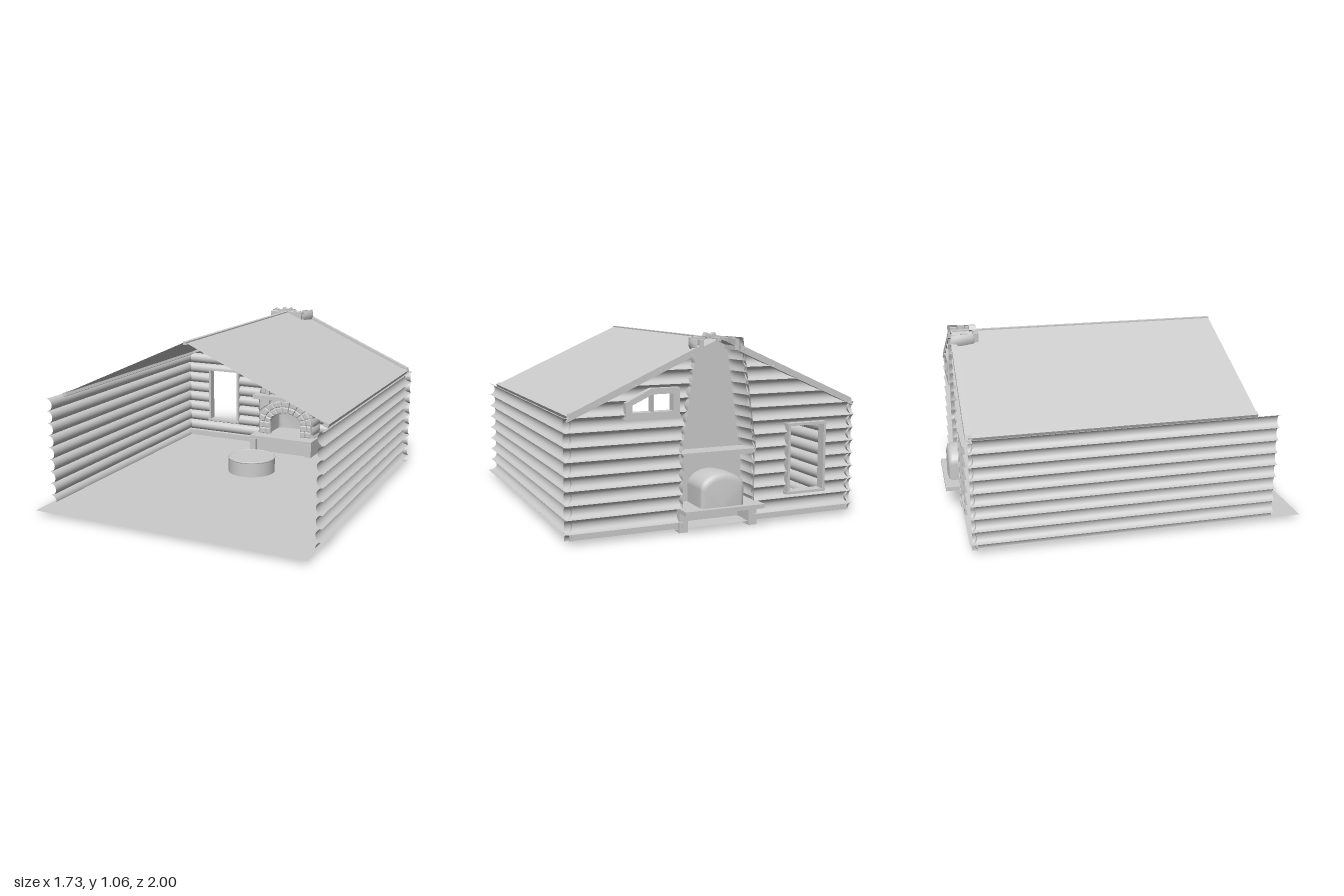
import * as THREE from 'three';

const PITCH = 0.0745, LOG_BASE = 0.06;

export function createModel() {
  const model = new THREE.Group();
  const grey = new THREE.MeshStandardMaterial({ color: 0xcccccc, side: THREE.DoubleSide });

  let seed = 7;
  const rand = () => (seed = (seed * 16807) % 2147483647) / 2147483647;

  const group = (name) => {
    const g = new THREE.Group();
    g.name = name;
    model.add(g);
    return g;
  };
  const add = (name, geo, parent = model) => {
    const m = new THREE.Mesh(geo, grey);
    m.name = name;
    parent.add(m);
    return m;
  };
  // box given by its limits
  const box = (name, x0, x1, y0, y1, z0, z1, parent) => {
    const m = add(name, new THREE.BoxGeometry(x1 - x0, y1 - y0, z1 - z0), parent);
    m.position.set((x0 + x1) / 2, (y0 + y1) / 2, (z0 + z1) / 2);
    return m;
  };
  // surface through rows of points
  const sheet = (rows) => {
    const n = rows[0].length, idx = [];
    for (let i = 0; i < rows.length - 1; i++)
      for (let j = 0; j < n - 1; j++) {
        const a = i * n + j, b = a + n;
        idx.push(a, a + 1, b, b, a + 1, b + 1);
      }
    const g = new THREE.BufferGeometry();
    g.setAttribute('position', new THREE.Float32BufferAttribute(rows.flat(2), 3));
    g.setIndex(idx);
    g.computeVertexNormals();
    return g;
  };
  const polygon = (pts) => new THREE.Shape(pts.map(([x, y]) => new THREE.Vector2(x, y)));
  const plate = (name, shape, z, depth, parent, bevel = 0) => {
    const m = add(name, new THREE.ExtrudeGeometry(shape, {
      depth, bevelEnabled: bevel > 0, bevelSize: bevel, bevelOffset: -bevel,
      bevelThickness: bevel, bevelSegments: 2, curveSegments: 16,
    }), parent);
    m.position.z = z;
    return m;
  };
  // log courses between two heights; row(y, bulge) gives the points across
  const logs = (name, y0, y1, row, parent) => {
    const first = Math.floor((y0 - LOG_BASE) / PITCH + 1e-6);
    for (let k = first; LOG_BASE + k * PITCH < y1 - 1e-6; k++) {
      const c = LOG_BASE + (k + 0.5) * PITCH, r = PITCH / 2;
      const angle = (y) => Math.acos(THREE.MathUtils.clamp((c - y) / r, -1, 1));
      const a0 = angle(y0), a1 = angle(y1), rows = [];
      for (let i = 0; i <= 12; i++) {
        const a = a0 + (a1 - a0) * i / 12;
        rows.push(row(c - r * Math.cos(a), r * Math.sin(a)));
      }
      add(name, sheet(rows), parent);
    }
  };

  // floor
  const floor = add('floor', new THREE.PlaneGeometry(1.7, 1.91));
  floor.rotation.x = -Math.PI / 2;
  floor.position.set(0, 0.022, 0.045);

  // side walls: half logs bulging into the room
  for (const s of [-1, 1]) {
    const wall = group(s > 0 ? 'leftWall' : 'rightWall');
    logs('wallLog', 0.02, 0.656, (y, b) => [[s * (0.866 - b), y, 0.83], [s * (0.866 - b), y, -0.905]], wall);
  }

  // back wall, pieced around fireplace and windows
  const RIDGE = 1.035, SLOPE = 0.445;
  const gable = (y) => (y < 0.657 ? 0.866 : (RIDGE - y) / SLOPE);
  const breast = (y) => (y < 0.42 ? 0.215 : 0.225 - (y - 0.42) * 0.147);
  const slant = (y) => 0.51 - Math.max(0, y - 0.70) * 1.8;
  const back = group('backWall');
  const wallPiece = (y0, y1, left, right) =>
    logs('wallLog', y0, y1, (y, b) => [[left(y), y, b - 0.92], [right(y), y, b - 0.92]], back);
  const at = (x) => () => x;
  const negGable = (y) => -gable(y), negBreast = (y) => -breast(y);
  wallPiece(0.02, 0.16, negGable, negBreast);
  wallPiece(0.16, 0.545, negGable, at(-0.655));
  wallPiece(0.16, 0.545, at(-0.435), negBreast);
  wallPiece(0.545, 0.965, negGable, negBreast);
  wallPiece(0.02, 0.66, breast, gable);
  wallPiece(0.66, 0.70, breast, at(0.275));
  wallPiece(0.66, 0.70, slant, gable);
  wallPiece(0.70, 0.76, breast, at(0.275));
  wallPiece(0.70, 0.76, slant, gable);
  wallPiece(0.76, 0.965, breast, gable);
  for (const s of [-1, 1])
    box('baseboard', s > 0 ? 0.215 : -0.84, s > 0 ? 0.84 : -0.215, 0.022, 0.06, -0.9, -0.875);

  // tall window frame
  const tall = group('tallWindow');
  box('windowJamb', -0.67, -0.655, 0.16, 0.545, -0.925, -0.87, tall);
  box('windowJamb', -0.44, -0.425, 0.16, 0.545, -0.925, -0.87, tall);
  box('windowLintel', -0.675, -0.42, 0.54, 0.555, -0.925, -0.868, tall);
  box('windowSill', -0.675, -0.42, 0.152, 0.167, -0.925, -0.862, tall);

  // small slanted window under the gable
  const small = group('gableWindow');
  const frame = polygon([[0.24, 0.64], [0.54, 0.64], [0.54, 0.72], [0.40, 0.788], [0.24, 0.788]]);
  frame.holes.push(
    polygon([[0.275, 0.665], [0.385, 0.665], [0.385, 0.757], [0.275, 0.757]]),
    polygon([[0.393, 0.665], [0.505, 0.665], [0.505, 0.705], [0.393, 0.757]]));
  plate('gableWindowFrame', frame, -0.925, 0.055, small);
  box('gableWindowSill', 0.232, 0.548, 0.628, 0.642, -0.925, -0.862, small);

  // roof sheets, gable trim and eave boards
  const roof = group('roof');
  const EAVE = 0.835, eaveY = RIDGE - SLOPE * EAVE;
  for (const s of [-1, 1]) {
    add('roofSlope', sheet([
      [[0, RIDGE, 0.705], [0, RIDGE, -0.905]],
      [[s * EAVE, eaveY, 0.705], [s * EAVE, eaveY, -0.905]],
    ]), roof);
    const edge = (x, d) => [s * x, RIDGE - SLOPE * x + d];
    plate('gableTrim', polygon([edge(0.12, 0.018), edge(0.838, 0.018), edge(0.852, -0.02), edge(0.12, -0.02)]),
      -0.917, 0.034, roof);
    const board = box('eaveBoard', -0.015, 0.015, -0.012, 0.012, -0.9, 0.705, roof);
    board.position.x = s * 0.828;
    board.position.y = eaveY - 0.004;
    board.rotation.z = -s * Math.atan(SLOPE);
  }
  box('ridgeBeam', -0.012, 0.012, RIDGE - 0.016, RIDGE + 0.002, -0.9, 0.705, roof);

  // fireplace: hollow stone shell, open behind
  const fire = group('fireplace');
  const FRONT = -0.77;
  const half = (y) => (y < 0.42 ? 0.2 : 0.192 - (y - 0.42) * 0.146);
  const stone = (pts) => {
    const cx = pts.reduce((t, p) => t + p[0], 0) / pts.length;
    const cy = pts.reduce((t, p) => t + p[1], 0) / pts.length;
    const inset = pts.map(([x, y]) => [cx + (x - cx) * 0.95, cy + (y - cy) * 0.94]);
    plate('stone', polygon(inset), FRONT, 0.004 + rand() * 0.006, fire, 0.007);
  };
  plate('chimneyFace', polygon([[-half(0.42), 0.42], [half(0.42), 0.42], [0.1, 1.04], [-0.1, 1.04]]), FRONT - 0.01, 0.01, fire);

  const OY = 0.225, RX = 0.115, RY = 0.075;
  const lower = polygon([[-0.2, 0.02], [0.2, 0.02], [0.2, 0.42], [-0.2, 0.42]]);
  const arch = (grow, a) => [(RX + grow) * Math.cos(a), OY + (RY + grow) * Math.sin(a)];
  const outline = [[RX, 0.13]];
  for (let i = 0; i <= 16; i++) outline.push(arch(0, Math.PI * i / 16));
  outline.push([-RX, 0.13]);
  lower.holes.push(polygon(outline));
  plate('fireplaceFace', lower, FRONT - 0.01, 0.01, fire);

  // chimney courses with staggered joints
  const COURSES = 10, H = 0.61 / COURSES;
  for (let r = 0; r < COURSES; r++) {
    const n = r < 5 ? 6 : r < 8 ? 5 : 4, y = 0.43 + r * H, cuts = [-1];
    for (let i = 1; i < n; i++) cuts.push(-1 + 2 * (i + (r % 2 ? 0.22 : -0.22) + (rand() - 0.5) * 0.4) / n);
    cuts.push(1);
    for (let i = 0; i < n; i++) {
      const a = cuts[i], b = cuts[i + 1], m = (a + b) / 2, top = half(y + H), low = half(y);
      const lift = (rand() - 0.5) * 0.012;
      stone([[a * low, y], [m * low, y + lift], [b * low, y], [b * top, y + H], [m * top, y + H + lift], [a * top, y + H]]);
    }
  }
  // two rings of arch stones
  for (const [n, g0, g1] of [[9, 0, 0.045], [9, 0.045, 0.09]])
    for (let i = 0; i < n; i++) {
      const a = Math.PI * i / n, b = Math.PI * (i + 1) / n, m = (a + b) / 2;
      stone([arch(g0, a), arch(g1, a), arch(g1, m), arch(g1, b), arch(g0, b), arch(g0, m)]);
    }
  // jamb and corner stones
  for (const s of [-1, 1]) {
    for (let r = 0; r < 2; r++) {
      const y = 0.135 + r * 0.045, m = r ? 0.165 : 0.15;
      for (const [a, b] of [[RX, m], [m, 0.2]])
        stone([[s * a, y], [s * b, y], [s * b, y + 0.045], [s * a, y + 0.045]]);
    }
    stone([[s * 0.2, 0.3], [s * 0.2, 0.4], [s * 0.1, 0.4], [s * 0.13, 0.35], [s * 0.175, 0.32]]);

    // stone side of the shell, each course bulging
    for (let k = 0; k < 16; k++) {
      const y0 = 0.03 + k * 0.063, rows = [];
      for (let i = 0; i <= 6; i++) {
        const y = y0 + 0.063 * i / 6, b = 0.01 * Math.sin(Math.PI * i / 6);
        rows.push([[s * half(y), y, FRONT], [s * (half(y) + 0.012 + b), y, FRONT - 0.02],
          [s * (breast(y) + b), y, -0.88], [s * breast(y), y, -0.918]]);
      }
      add('sideStone', sheet(rows), fire);
    }
    // hearth legs and corbels
    box('hearthLeg', s * 0.2125 - 0.0225, s * 0.2125 + 0.0225, 0.012, 0.11, -0.91, -0.67, fire);
    box('hearthPost', s * 0.21 - 0.025, s * 0.21 + 0.025, 0, 0.11, -0.915, -0.85, fire);
    box('corbel', s * 0.13 - 0.011, s * 0.13 + 0.011, 0.36, 0.47, -0.77, -0.74, fire);
  }
  box('mantel', -0.23, 0.23, 0.4, 0.427, -0.9, -0.7, fire);
  box('hearthSlab', -0.237, 0.237, 0.112, 0.135, -1, -0.67, fire);
  box('hearthFront', -0.19, 0.19, 0.022, 0.112, -0.71, -0.69, fire);

  // rounded firebox behind the arch
  const ring = (k, z) => [[-0.13 * k, 0.135]]
    .concat(Array.from({ length: 17 }, (_, i) => {
      const a = Math.PI * (1 - i / 16);
      return [0.13 * k * Math.cos(a), 0.135 + k * (0.1 + 0.085 * Math.sin(a))];
    }), [[0.13 * k, 0.135]]).map(([x, y]) => [x, y, z]);
  add('firebox', sheet([ring(0.96, FRONT), ring(1, -0.85), ring(1, -0.945), ring(0.95, -0.962), ring(0.8, -0.97), ring(0, -0.975)]), fire);

  // chimney cap: ring of uneven stones
  const cap = group('chimneyCap');
  for (let i = 0; i < 5; i++) {
    const x = -0.092 + i * 0.046, h = 1.035 + (i % 2) * 0.008;
    const c = box('capStone', x - 0.021, x + 0.021, 0.985, h, -0.785, -0.755, cap);
    c.rotation.z = (rand() - 0.5) * 0.12;
  }
  for (const s of [-1, 1]) {
    for (let i = 0; i < 3; i++) {
      const z = -0.905 + i * 0.045;
      box('capStone', s * 0.105 - 0.012, s * 0.105 + 0.012, 0.97, 1.03 + (i % 2) * 0.01, z, z + 0.041, cap);
    }
    const tip = box('capTip', -0.016, 0.016, -0.012, 0.012, -0.8, -0.76, cap);
    tip.position.x = s * 0.017;
    tip.position.y = 1.044;
    tip.rotation.z = s * 0.5;
  }

  // round low table
  const table = add('roundTable', new THREE.CylinderGeometry(0.155, 0.155, 0.1, 40));
  table.position.set(-0.025, 0.071, -0.24);
  const rim = add('tableRim', new THREE.TorusGeometry(0.152, 0.006, 8, 40));
  rim.rotation.x = Math.PI / 2;
  rim.position.set(-0.025, 0.118, -0.24);

  return model;
}
